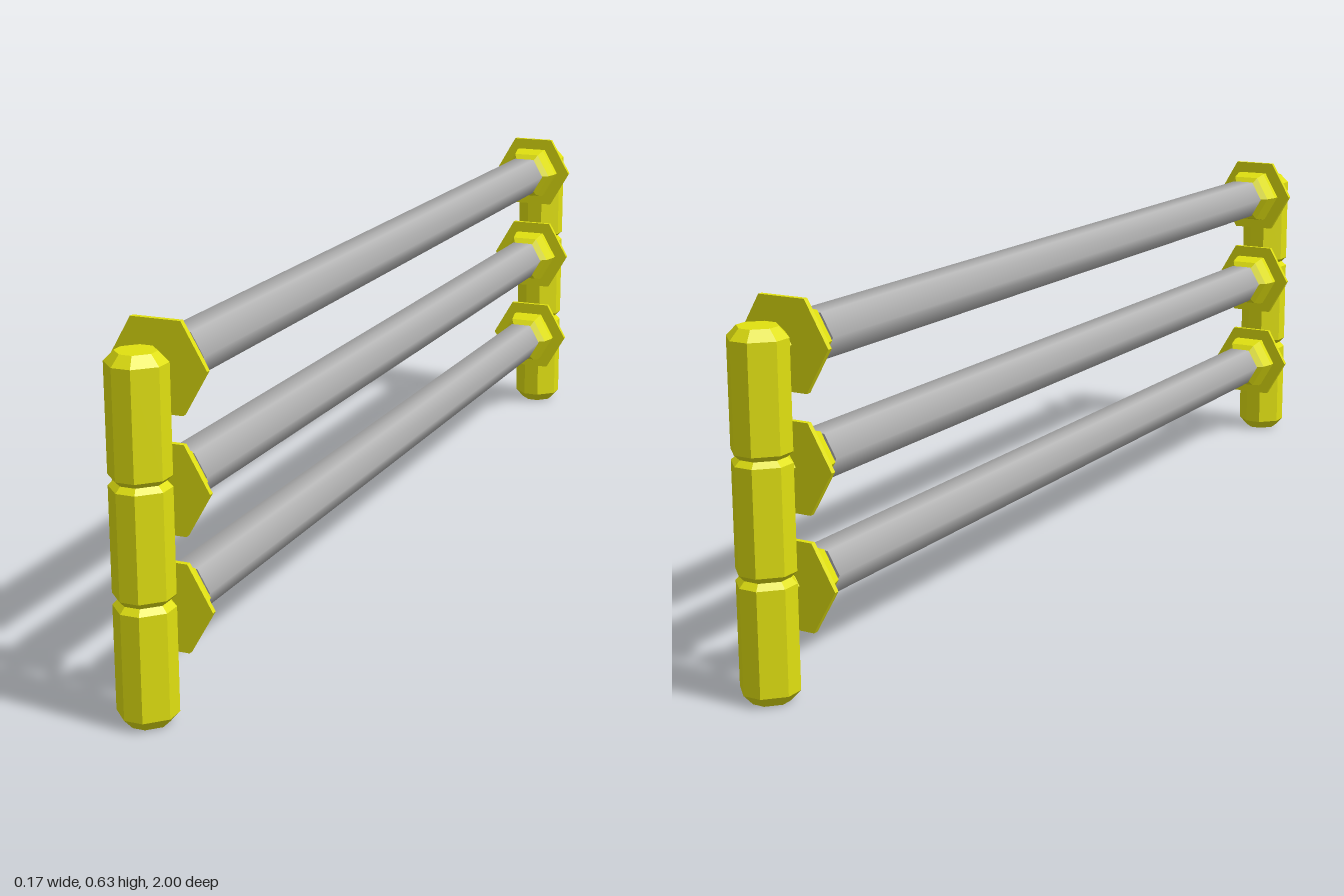
import * as THREE from 'three';

const yellow = new THREE.MeshStandardMaterial({ color: 0xe0e010 });
yellow.name = 'yellow';
const grey = new THREE.MeshStandardMaterial({ color: 0xb4b4b4 });
grey.name = 'grey';

// Turned solid with flat facets; profile is a list of [radius, height], rising
function faceted(profile, sides, phiStart) {
  const pts = profile.map(([r, h]) => new THREE.Vector2(r, h));
  return new THREE.LatheGeometry(pts, sides, phiStart);
}

function flat(geo) {
  const g = geo.toNonIndexed();
  g.computeVertexNormals();
  return g;
}

function addMesh(parent, name, geo, mat, y = 0, z = 0) {
  const mesh = new THREE.Mesh(geo, mat);
  mesh.name = name;
  mesh.position.set(0, y, z);
  parent.add(mesh);
}

export function createModel() {
  const model = new THREE.Group();
  model.name = 'barRack';
  const heights = [0.169, 0.361, 0.554];

  // Post: eight sides, wide diagonal faces, pinched between the three segments
  const R = 0.0509;
  const postGeo = faceted([
    [0, 0], [0.034, 0], [R, 0.018],
    [R, 0.192], [0.041, 0.202], [R, 0.212],
    [R, 0.384], [0.041, 0.393], [R, 0.402],
    [R, 0.577], [0.034, 0.594], [0, 0.594],
  ], 8, Math.PI / 8);
  const p = postGeo.attributes.position;
  for (let i = 0; i < p.count; i++) {
    const x = p.getX(i), z = p.getZ(i);
    if (Math.abs(x) < Math.abs(z)) p.setX(i, x * 0.82);
    else p.setZ(i, z * 0.82);
  }
  const post = flat(postGeo);

  // Six-sided holder parts, turned around the z axis
  const hex = (profile) => flat(faceted(profile, 6, Math.PI / 2).rotateX(Math.PI / 2));
  const cup = hex([[0, 0.822], [0.031, 0.822], [0.053, 0.838], [0.06, 0.865], [0.06, 0.878], [0.045, 0.886], [0, 0.886]]);
  const plate = hex([[0, 0.884], [0.085, 0.884], [0.085, 0.893], [0, 0.893]]);
  const neck = hex([[0, 0.89], [0.018, 0.89], [0.014, 0.915], [0, 0.915]]);

  // The two ends are the same, turned half a circle
  for (const [name, turn] of [['frontEnd', 0], ['backEnd', Math.PI]]) {
    const end = new THREE.Group();
    end.name = name;
    end.rotation.y = turn;
    addMesh(end, 'post', post, yellow, 0, 0.953);
    for (const y of heights) {
      addMesh(end, 'holderCup', cup, yellow, y);
      addMesh(end, 'holderPlate', plate, yellow, y);
      addMesh(end, 'holderNeck', neck, yellow, y);
    }
    model.add(end);
  }

  // Smooth-shaded six-sided bars
  const bar = new THREE.CylinderGeometry(0.0435, 0.0435, 1.645, 6, 1, false, Math.PI / 2).rotateX(Math.PI / 2);
  for (const y of heights) addMesh(model, 'bar', bar, grey, y);

  return model;
}
